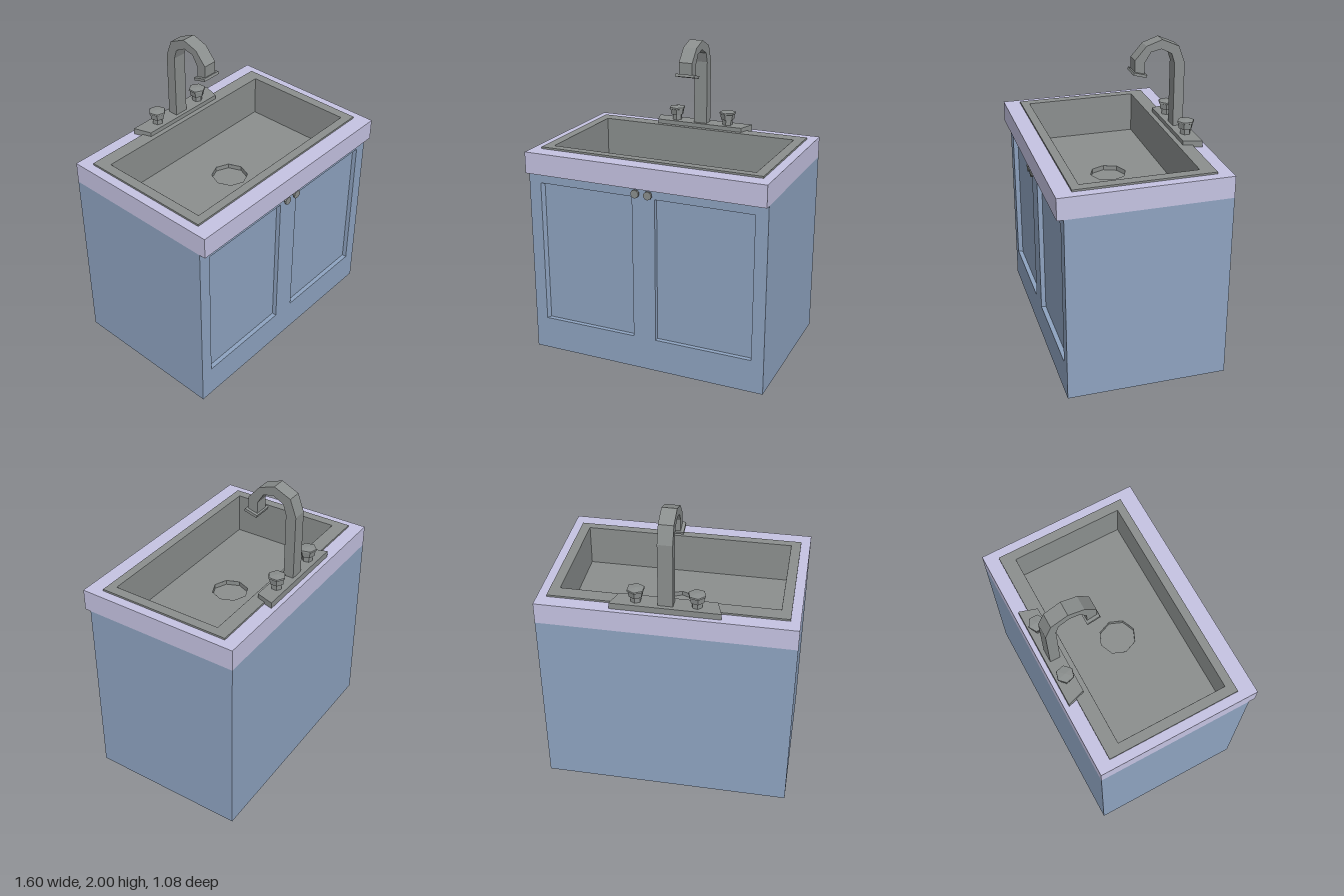
import * as THREE from 'three';
import { mergeGeometries } from 'three/addons/utils/BufferGeometryUtils.js';

const mat = (color) => new THREE.MeshStandardMaterial({ color, flatShading: true, side: THREE.DoubleSide });
const blue = mat(0x8ea3c0), lilac = mat(0xc5c3e2), steel = mat(0x8b8f8e);

const path = (pts) => pts.map(([a, b]) => new THREE.Vector2(a, b));
const rect = (x0, x1, y0, y1) => [[x0, y0], [x1, y0], [x1, y1], [x0, y1]];

// Flat horizontal shape from an outline in x and z, with an optional hole
function plan(outline, hole) {
  const shape = new THREE.Shape(path(outline.map(([x, z]) => [x, -z])));
  if (hole) shape.holes.push(new THREE.Path(path(hole.map(([x, z]) => [x, -z]))));
  return shape;
}

function slab(outline, y, height, hole) {
  return new THREE.ExtrudeGeometry(plan(outline, hole), { depth: height, bevelEnabled: false })
    .rotateX(-Math.PI / 2).translate(0, y, 0);
}

function sheet(outline, y, hole) {
  return new THREE.ShapeGeometry(plan(outline, hole)).rotateX(-Math.PI / 2).translate(0, y, 0);
}

// Side profile in z and y, extruded across x about the centre
function sideProfile(pts, width) {
  return new THREE.ExtrudeGeometry(new THREE.Shape(path(pts)), { depth: width, bevelEnabled: false })
    .rotateY(-Math.PI / 2).translate(width / 2, 0, 0);
}

// Walls joining two rings of corners, each corner [x, y, z]
function band(a, b) {
  const pos = [];
  a.forEach((p, i) => {
    const j = (i + 1) % a.length;
    pos.push(...p, ...a[j], ...b[j], ...p, ...b[j], ...b[i]);
  });
  const g = new THREE.BufferGeometry();
  g.setAttribute('position', new THREE.Float32BufferAttribute(pos, 3));
  g.computeVertexNormals();
  return g;
}

const lathe = (pts, sides) => new THREE.LatheGeometry(path(pts), sides);

export function createModel() {
  const model = new THREE.Group();
  const add = (name, geometry, material) => {
    const mesh = new THREE.Mesh(geometry, material);
    mesh.name = name;
    model.add(mesh);
  };

  // Cabinet shell, open underneath
  const W = 0.802, H = 1.24, back = -0.538, front = 0.497, recess = 0.03;
  const sides = [-W, W].map((x) => new THREE.PlaneGeometry(front - back, H)
    .rotateY(Math.sign(x) * Math.PI / 2).translate(x, H / 2, (front + back) / 2));
  const rear = new THREE.PlaneGeometry(W * 2, H).rotateY(Math.PI).translate(0, H / 2, back);
  add('cabinetWalls', mergeGeometries([...sides, rear]), blue);

  // Cabinet front with two recessed door panels
  const doors = [
    { outer: rect(-0.72, -0.077, 0.22, 1.173), inner: rect(-0.707, -0.077, 0.22, 1.173) },
    { outer: rect(0.077, 0.72, 0.22, 1.173), inner: rect(0.077, 0.72, 0.22, 1.173) },
  ];
  const face = new THREE.Shape(path(rect(-W, W, 0, H)));
  doors.forEach((d) => face.holes.push(new THREE.Path(path(d.outer))));
  add('cabinetFront', new THREE.ShapeGeometry(face).translate(0, 0, front), blue);
  doors.forEach(({ outer, inner }) => {
    const at = (ring, z) => ring.map(([x, y]) => [x, y, z]);
    add('doorPanelEdge', band(at(inner, front - recess), at(outer, front)), blue);
    add('doorPanel', new THREE.ShapeGeometry(new THREE.Shape(path(inner)))
      .translate(0, 0, front - recess), blue);
  });

  // Door knobs
  for (const x of [-0.043, 0.043]) {
    const knob = lathe([[0.016, 0], [0.016, 0.018], [0.027, 0.021], [0.027, 0.034], [0, 0.034]], 10);
    add('doorKnob', knob.rotateX(Math.PI / 2).translate(x, 1.203, front), steel);
  }

  // Countertop and the basin set into it
  const opening = rect(-0.68, 0.68, -0.358, 0.378);
  add('countertop', slab(rect(-W, W, back, 0.538), H, 0.14, opening), lilac);
  add('basinRim', slab(rect(-0.742, 0.742, -0.448, 0.433), 1.38, 0.012, opening), steel);
  const floorY = 1.12, drainY = 1.09;
  const at = (outline, y) => outline.map(([x, z]) => [x * 0.999, y, z * 0.999]);
  add('basinWalls', band(at(opening, floorY), at(opening, 1.392)), steel);

  // Basin floor with an eight-sided sunken drain
  const drain = Array.from({ length: 8 }, (_, i) => {
    const a = i * Math.PI / 4;
    return [0.115 * Math.cos(a), 0.008 + 0.118 * Math.sin(a)];
  });
  add('basinFloor', sheet(opening, floorY, drain), steel);
  add('drainEdge', band(at(drain, drainY), at(drain, floorY)), steel);
  add('drain', sheet(drain, drainY), steel);

  // Tap base plate, narrower at the front
  add('tapBase', slab([[-0.34, -0.507], [0.34, -0.507], [0.303, -0.39], [-0.303, -0.39]], 1.38, 0.04), steel);

  // Square spout bent over in facets
  add('spout', sideProfile([
    [-0.481, 1.41], [-0.481, 1.84], [-0.44, 1.95], [-0.33, 2], [-0.227, 1.965], [-0.153, 1.88],
    [-0.153, 1.8], [-0.217, 1.785], [-0.217, 1.86], [-0.257, 1.925], [-0.325, 1.94],
    [-0.393, 1.905], [-0.414, 1.84], [-0.414, 1.41],
  ], 0.092), steel);
  add('spoutLip', sideProfile([[-0.138, 1.791], [-0.143, 1.808], [-0.228, 1.785], [-0.223, 1.768]], 0.132), steel);

  // Hot and cold tap handles with low domed tops
  for (const side of [-1, 1]) {
    const handle = lathe([[0.034, 0], [0.034, 0.036], [0.045, 0.037], [0.05, 0.074],
      [0.057, 0.077], [0.055, 0.087], [0, 0.093]], 6);
    handle.rotateY(side < 0 ? 0.25 : 0);
    add('tapHandle', handle.translate(side * 0.185, 1.42, -0.448), steel);
  }

  return model;
}
